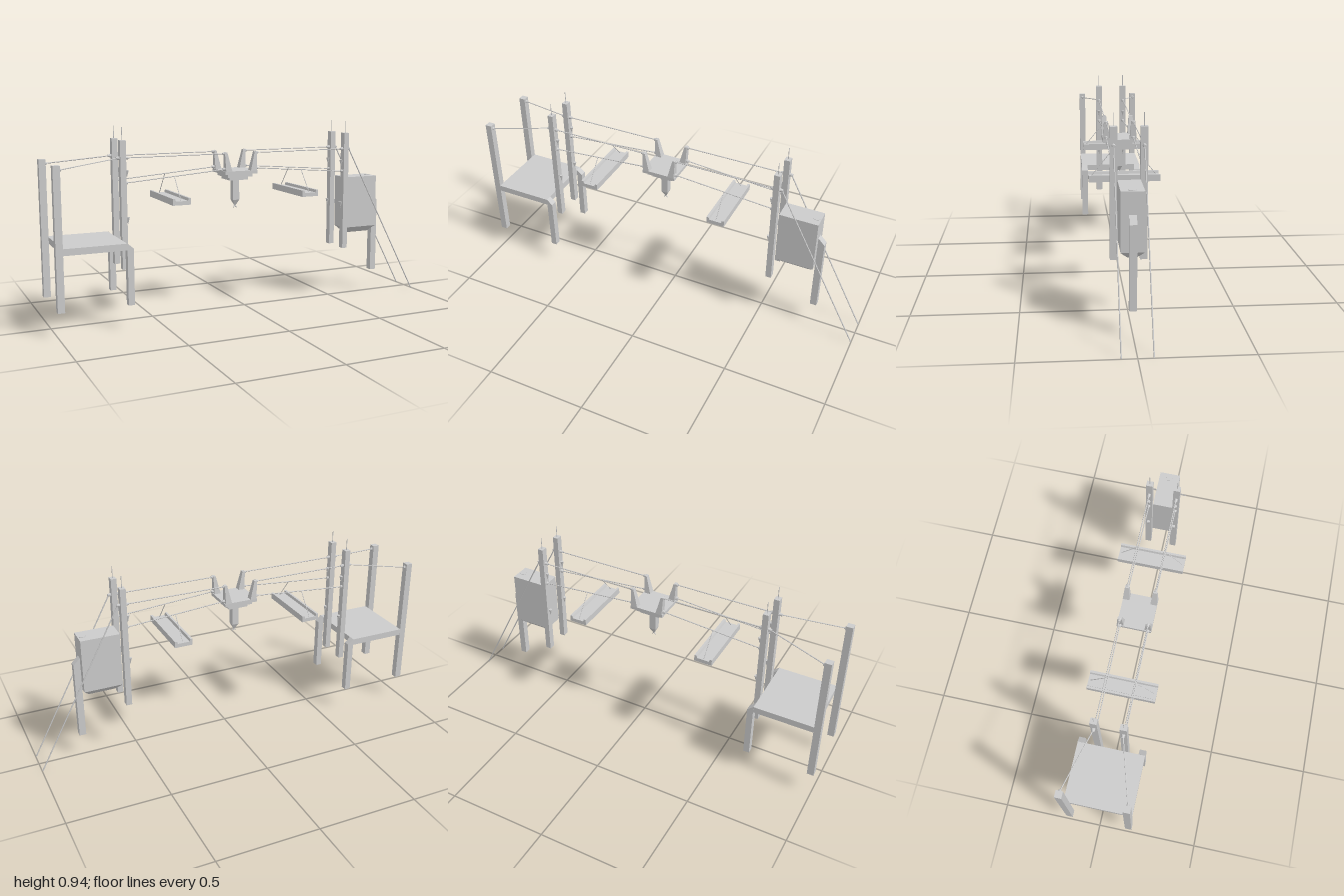
import * as THREE from 'three';

export function createModel() {
  const root = new THREE.Group();
  const mat = new THREE.MeshStandardMaterial({ color: 0xcccccc, flatShading: true });

  const add = (name, geo) => {
    const m = new THREE.Mesh(geo, mat);
    m.name = name;
    root.add(m);
    return m;
  };
  // Box given by its extents
  const box = (name, x0, x1, y0, y1, z0, z1) => {
    const m = add(name, new THREE.BoxGeometry(x1 - x0, y1 - y0, z1 - z0));
    m.position.set((x0 + x1) / 2, (y0 + y1) / 2, (z0 + z1) / 2);
    return m;
  };
  // Thin rod between two points
  const rod = (name, a, b, r = 0.0026) => {
    const p = new THREE.Vector3(...a), q = new THREE.Vector3(...b);
    const d = q.clone().sub(p);
    const m = add(name, new THREE.CylinderGeometry(r, r, d.length(), 6));
    m.position.copy(p).add(q).multiplyScalar(0.5);
    m.quaternion.setFromUnitVectors(new THREE.Vector3(0, 1, 0), d.normalize());
    return m;
  };
  // Side outline in x and y, extruded from z0 to z1
  const prism = (name, pts, z0, z1) => {
    const shape = new THREE.Shape(pts.map(p => new THREE.Vector2(...p)));
    const m = add(name, new THREE.ExtrudeGeometry(shape, { depth: z1 - z0, bevelEnabled: false }));
    m.position.z = z0;
    return m;
  };
  // Block whose lower face is narrowed and shifted
  const taper = (name, x0, x1, y0, y1, z0, z1, bx0, bx1, bz0, bz1) => {
    const g = new THREE.BoxGeometry(1, 1, 1), p = g.attributes.position;
    for (let i = 0; i < p.count; i++) {
      const top = p.getY(i) > 0, right = p.getX(i) > 0, front = p.getZ(i) > 0;
      p.setXYZ(i, top ? (right ? x1 : x0) : (right ? bx1 : bx0), top ? y1 : y0,
        top ? (front ? z1 : z0) : (front ? bz1 : bz0));
    }
    g.computeVertexNormals();
    return add(name, g);
  };
  // Short tapered peg that holds a rope; dir is the x direction it points
  const peg = (x, y, z, dir, len = 0.016) => {
    const m = add('ropePeg', new THREE.CylinderGeometry(0.006, 0.009, len, 8));
    m.rotation.z = -dir * Math.PI / 2;
    m.position.set(x + dir * len / 2, y, z);
  };

  const ropeZ = 0.068, cx = -0.053;

  for (const s of [-1, 1]) {
    const z = s * ropeZ, zo = s * 0.153;

    // Starting platform posts and short legs with sloped tops
    box('outerPost', -1, -0.967, 0.118, 0.785, zo - 0.0165, zo + 0.0165);
    prism('shortLeg', [[-0.67, 0.118], [-0.64, 0.118], [-0.64, 0.387], [-0.67, 0.413]], zo - 0.0165, zo + 0.0165);
    peg(-0.967, 0.765, zo, 1, 0.008);

    // Tall posts with spikes, rope pegs and small hanging cones
    for (const [x, inward] of [[-0.655, 1], [0.548, -1]]) {
      box('tallPost', x - 0.014, x + 0.014, 0.27, 0.88, z - 0.0165, z + 0.0165);
      rod('postSpike', [x, 0.88, z], [x, 0.94, z], 0.0018);
      for (const d of [-1, 1]) peg(x + d * 0.014, 0.797, z, d);
      peg(x + inward * 0.014, 0.68, z, inward, 0.01);
      for (const y of [0.722, 0.5]) {
        const c = add('hangingCone', new THREE.ConeGeometry(0.009, 0.034, 6));
        c.rotation.x = Math.PI;
        c.position.set(x + inward * 0.021, y, z);
      }
    }

    // Upper ropes, lower ropes and the guy rope
    rod('platformRope', [-0.965, 0.765, zo], [-0.675, 0.797, z]);
    rod('upperRope', [-0.63, 0.797, z], [-0.14, 0.797, z]);
    rod('upperRope', [0.034, 0.797, z], [0.525, 0.797, z]);
    rod('lowerRope', [-0.635, 0.68, z], [-0.135, 0.72, z]);
    rod('lowerRope', [0.029, 0.72, z], [0.527, 0.68, z]);
    rod('guyRope', [0.572, 0.797, z], [0.997, 0.002, z], 0.003);

    // Corner horns of the hanging centre platform
    for (const d of [-1, 1]) {
      const X = v => cx + d * v;
      const o = [X(0.074), X(0.087)].sort((a, b) => a - b);
      const b = [X(0.05), X(0.083)].sort((a, b) => a - b);
      taper('cornerHorn', ...o, 0.708, 0.803, z - 0.01, z + 0.01, ...b, z - 0.017, z + 0.017);
      peg(X(0.082), 0.797, z, d, 0.014);
      peg(X(0.082), 0.72, z, d, 0.014);
    }

    // Swing ropes
    for (const x of [-0.4, 0.289]) {
      rod('swingRope', [x, 0.58, s * 0.166], [x, 0.7, z], 0.0018);
    }
  }

  // Starting platform deck
  box('platformDeck', -0.967, -0.67, 0.38, 0.412, -0.169, 0.169);

  // Stepped centre platform with a pendant
  box('centrePlateTop', cx - 0.087, cx + 0.087, 0.694, 0.71, -0.084, 0.084);
  box('centrePlateMiddle', cx - 0.067, cx + 0.067, 0.677, 0.694, -0.066, 0.066);
  box('centrePlateBottom', cx - 0.05, cx + 0.05, 0.661, 0.677, -0.05, 0.05);
  box('pendantStem', cx - 0.017, cx + 0.017, 0.557, 0.661, -0.017, 0.017);
  taper('pendantTip', cx - 0.017, cx + 0.017, 0.53, 0.557, -0.017, 0.017,
    cx - 0.004, cx + 0.004, -0.004, 0.004);
  for (const d of [-1, 1]) {
    rod('pendantHook', [cx - d * 0.009, 0.517, 0], [cx + d * 0.006, 0.534, 0]);
  }

  // Hanging channel boards
  for (const x of [-0.4, 0.289]) {
    prism('swingBoard', [
      [x - 0.045, 0.573], [x + 0.045, 0.573], [x + 0.045, 0.605], [x + 0.034, 0.605],
      [x + 0.03, 0.592], [x - 0.03, 0.592], [x - 0.034, 0.605], [x - 0.045, 0.605],
    ], -0.168, 0.168);
  }

  // Cabinet with a tapered bottom, a lid and its support post
  box('cabinet', 0.565, 0.757, 0.372, 0.643, -0.052, 0.052);
  taper('cabinetHopper', 0.565, 0.757, 0.34, 0.372, -0.052, 0.052, 0.595, 0.727, -0.02, 0.02);
  const lid = add('cabinetLid', new THREE.CylinderGeometry(0.018, 0.018, 0.003, 8));
  lid.position.set(0.733, 0.6435, 0);
  prism('cabinetPost', [[0.757, 0.118], [0.79, 0.118], [0.79, 0.506], [0.757, 0.54]], -0.0165, 0.0165);

  return root;
}
